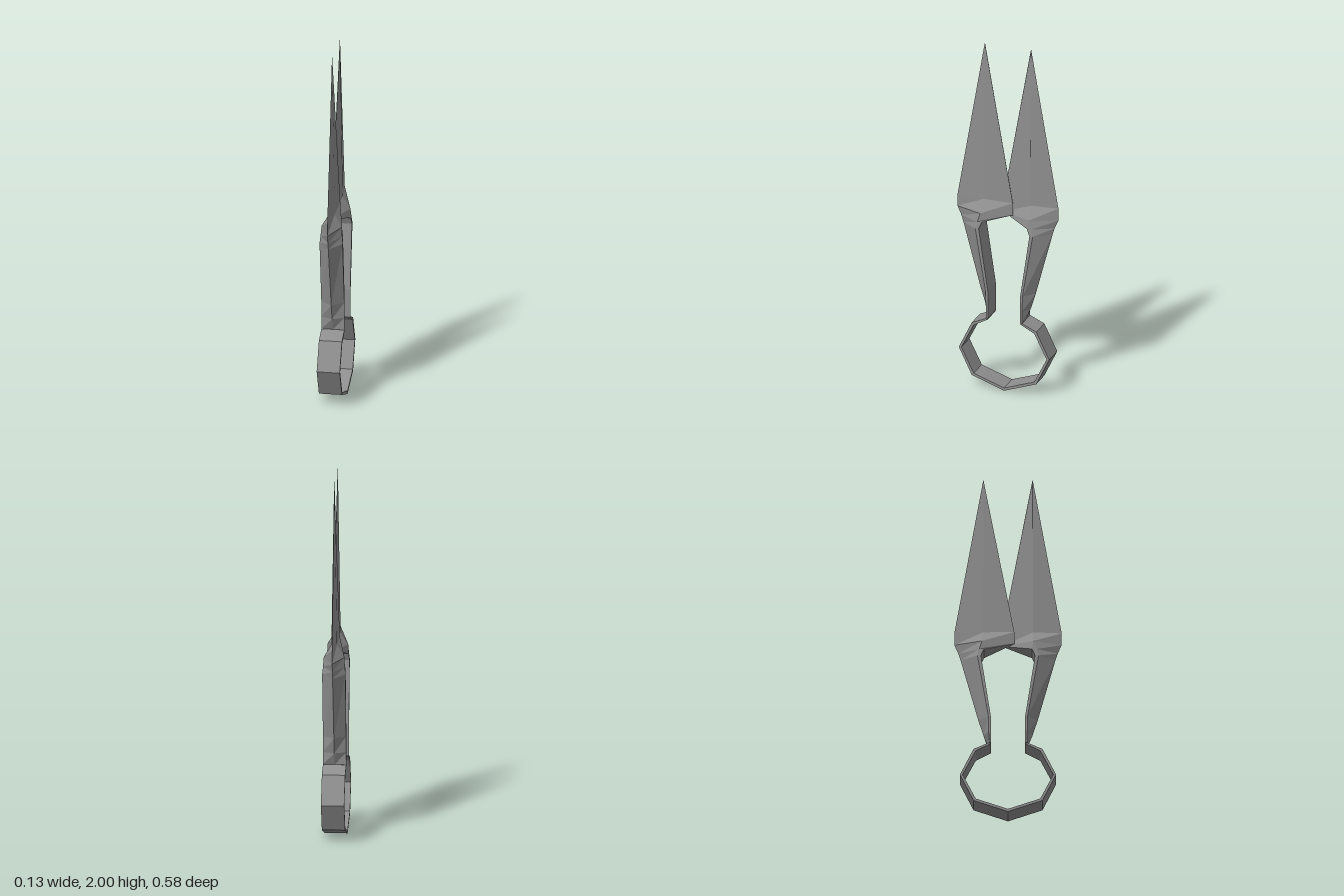
import * as THREE from 'three';

const steel = new THREE.MeshStandardMaterial({ color: 0x8e8e8e, flatShading: true });
steel.name = 'steel';

// Skins a stack of equal-length rings of [x, y, z] points, listed clockwise from above.
function loft(rings) {
  const pos = [];
  const tri = (a, b, c) => pos.push(...a, ...b, ...c);
  for (let r = 0; r < rings.length - 1; r++) {
    const b = rings[r], t = rings[r + 1], n = b.length;
    for (let i = 0; i < n; i++) {
      const j = (i + 1) % n;
      tri(b[j], b[i], t[i]);
      tri(b[j], t[i], t[j]);
    }
  }
  const first = rings[0], last = rings[rings.length - 1];
  for (let i = 1; i < first.length - 1; i++) {
    tri(first[0], first[i], first[i + 1]);
    tri(last[0], last[i + 1], last[i]);
  }
  const g = new THREE.BufferGeometry();
  g.setAttribute('position', new THREE.Float32BufferAttribute(pos, 3));
  g.computeVertexNormals();
  return g;
}

// Five-sided section: flat inner face, two side corners, outer ridge.
const handleRing = (y, w, inner, side, outer) => [
  [w, y, inner], [w, y, side], [0, y, outer], [-w, y, side], [-w, y, inner],
];

// Thin four-edged section whose cutting edge is shifted off the centre plane.
const bladeRing = (y, w, edgeX, edgeZ, side, outer) => [
  [edgeX + 0.001, y, edgeZ], [w, y, side], [0, y, outer], [-w, y, side], [edgeX - 0.001, y, edgeZ],
];

// Handle, shoulder and blade of one half.
function createHalf() {
  const half = new THREE.Group();
  const neck = handleRing(0.97, 0.059, 0.13, 0.155, 0.268);
  const base = bladeRing(1.02, 0.056, 0.017, -0.034, 0.14, 0.29);
  const root = bladeRing(1.09, 0.015, 0.017, -0.034, 0.135, 0.29);
  const add = (name, rings) => {
    const mesh = new THREE.Mesh(loft(rings), steel);
    mesh.name = name;
    half.add(mesh);
  };
  add('handle', [
    handleRing(0.41, 0.063, 0.093, 0.103, 0.104),
    handleRing(0.48, 0.063, 0.093, 0.104, 0.132),
    handleRing(0.57, 0.063, 0.093, 0.106, 0.16),
    handleRing(0.93, 0.063, 0.146, 0.165, 0.256),
    neck,
  ]);
  add('shoulder', [neck, base, root]);
  add('blade', [root, bladeRing(2.0, 0.0005, 0, 0.132, 0.133, 0.134)]);
  return half;
}

// Bent strap that joins the two handles.
function createSpring() {
  const outer = [[0.104, 0.41], [0.186, 0.373], [0.26, 0.22], [0.186, 0.066], [0, 0]];
  const inner = [[0.093, 0.405], [0.174, 0.361], [0.245, 0.22], [0.174, 0.077], [0, 0.016]];
  const mirror = (pts) => pts.slice(0, -1).reverse().map(([z, y]) => [-z, y]);
  const outline = [
    ...outer, ...mirror(outer),
    ...[...inner, ...mirror(inner)].reverse(),
  ];
  const shape = new THREE.Shape(outline.map(([z, y]) => new THREE.Vector2(z, y)));
  const g = new THREE.ExtrudeGeometry(shape, { depth: 0.126, bevelEnabled: false });
  g.translate(0, 0, -0.063);
  g.rotateY(-Math.PI / 2);
  const mesh = new THREE.Mesh(g, steel);
  mesh.name = 'springBow';
  return mesh;
}

export function createModel() {
  const shears = new THREE.Group();
  shears.name = 'shears';
  shears.add(createSpring());
  // The halves are the same part turned half a circle.
  ['frontHalf', 'backHalf'].forEach((name, i) => {
    const half = createHalf();
    half.name = name;
    half.rotation.y = i * Math.PI;
    shears.add(half);
  });
  return shears;
}
